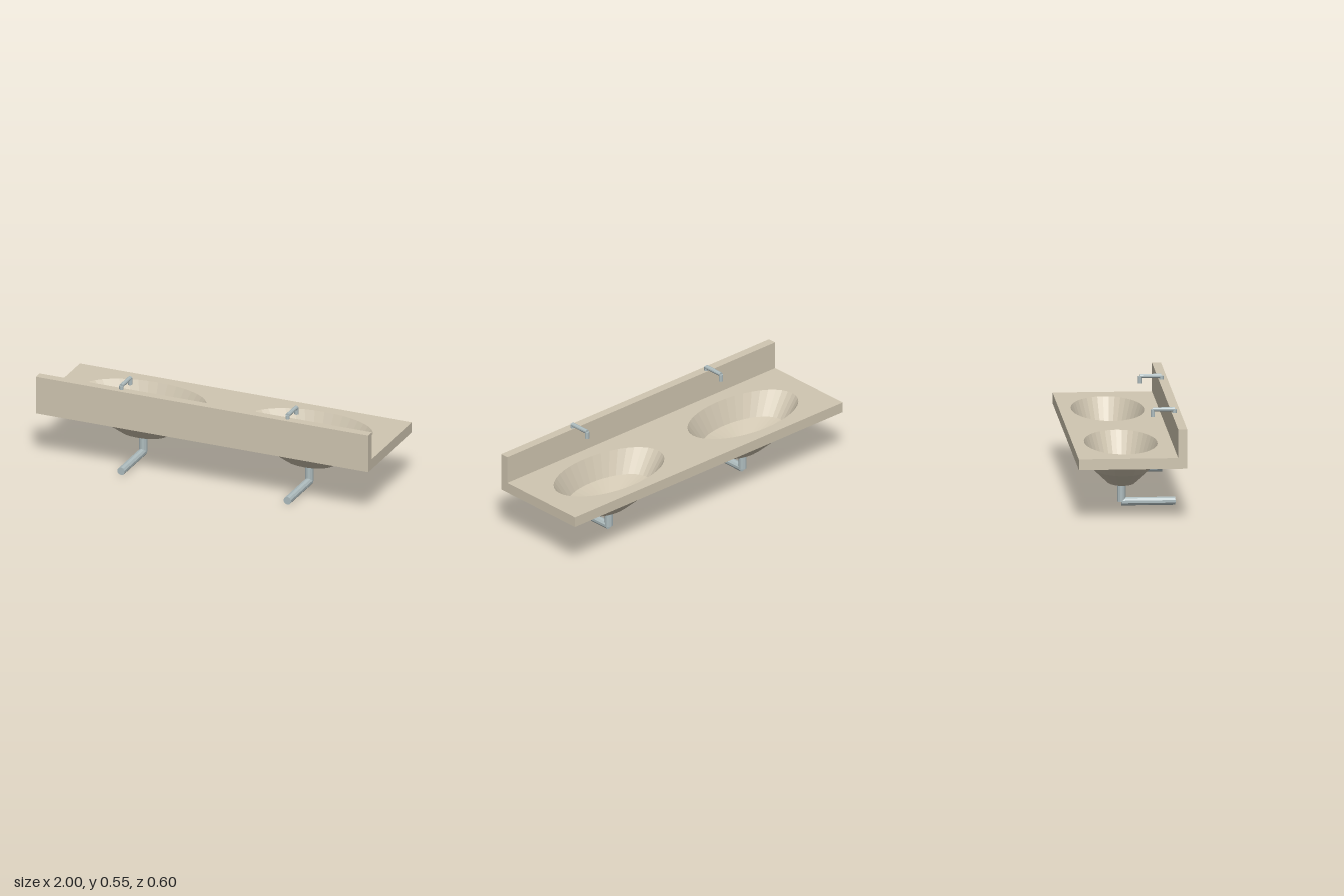
import * as THREE from 'three';

const stone = new THREE.MeshStandardMaterial({ color: 0xd0c6b1 });
stone.name = 'beige stone';
const steel = new THREE.MeshStandardMaterial({ color: 0xaebcbe });
steel.name = 'steel';

const BASIN_Z = -0.032, RIM_X = 0.37, RIM_Z = 0.203, RIM_SIDES = 40;

// Faceted mesh: every face keeps its own normal
function part(name, geometry, material) {
  const flat = geometry.index ? geometry.toNonIndexed() : geometry;
  flat.computeVertexNormals();
  const mesh = new THREE.Mesh(flat, material);
  mesh.name = name;
  return mesh;
}

// Straight pipe between two points
function pipe(name, from, to, radius) {
  const a = new THREE.Vector3(...from), b = new THREE.Vector3(...to);
  const dir = b.clone().sub(a);
  const mesh = part(name, new THREE.CylinderGeometry(radius, radius, dir.length(), 10), steel);
  mesh.position.copy(a).add(b).multiplyScalar(0.5);
  mesh.quaternion.setFromUnitVectors(new THREE.Vector3(0, 1, 0), dir.normalize());
  return mesh;
}

// Elliptical shell turned from a profile and squashed in z
function shell(name, profile, sides, squash) {
  const points = profile.map(([r, y]) => new THREE.Vector2(r, y));
  const geometry = new THREE.LatheGeometry(points, sides);
  geometry.scale(1, 1, squash);
  const mesh = part(name, geometry, stone);
  mesh.position.z = BASIN_Z;
  return mesh;
}

// Slab with two oval openings
function countertop() {
  const shape = new THREE.Shape();
  shape.moveTo(-1, -0.3).lineTo(1, -0.3).lineTo(1, 0.3).lineTo(-1, 0.3).closePath();
  for (const x of [-0.5, 0.5]) {
    const ring = [];
    for (let i = 0; i < RIM_SIDES; i++) {
      const t = -i / RIM_SIDES * Math.PI * 2;
      ring.push(new THREE.Vector2(x + RIM_X * Math.cos(t), -BASIN_Z + RIM_Z * Math.sin(t)));
    }
    shape.holes.push(new THREE.Path(ring));
  }
  const geometry = new THREE.ExtrudeGeometry(shape, { depth: 0.06, bevelEnabled: false });
  geometry.rotateX(-Math.PI / 2).translate(0, 0.295, 0);
  return part('countertop', geometry, stone);
}

// Basin with its tap and waste pipe
function sink(x) {
  const g = new THREE.Group();
  g.name = x > 0 ? 'leftSink' : 'rightSink';
  g.position.x = x;

  g.add(shell('basinInside', [[RIM_X, 0.355], [0.28, 0.225], [0.025, 0.15], [0, 0.143]], RIM_SIDES, RIM_Z / RIM_X));
  g.add(shell('basinOutside', [[0, 0.135], [0.137, 0.135], [0.282, 0.215], [0.372, 0.296]], 20, 0.573));

  // Drain ring
  const drain = part('drainRing', new THREE.TorusGeometry(0.023, 0.003, 4, 16), steel);
  drain.rotation.x = -Math.PI / 2;
  drain.position.set(0, 0.151, BASIN_Z);
  g.add(drain);

  // Waste pipe
  g.add(pipe('wasteDrop', [0, 0.14, -0.03], [0, 0.023, -0.03], 0.023));
  g.add(pipe('wasteRun', [0, 0.023, -0.03], [0, 0.023, 0.27], 0.023));

  // Tap
  g.add(pipe('tapPost', [0, 0.51, 0.266], [0, 0.535, 0.266], 0.012));
  g.add(pipe('tapArm', [0, 0.535, 0.266], [0, 0.535, 0.146], 0.012));
  g.add(pipe('tapSpout', [0, 0.535, 0.146], [0, 0.495, 0.146], 0.012));
  return g;
}

export function createModel() {
  const model = new THREE.Group();
  model.name = 'doubleWashbasin';
  model.add(countertop());

  // Splashback along the +z edge
  const splash = part('splashback', new THREE.BoxGeometry(2, 0.16, 0.05), stone);
  splash.position.set(0, 0.435, 0.275);
  model.add(splash);

  for (const x of [-0.5, 0.5]) model.add(sink(x));
  return model;
}
